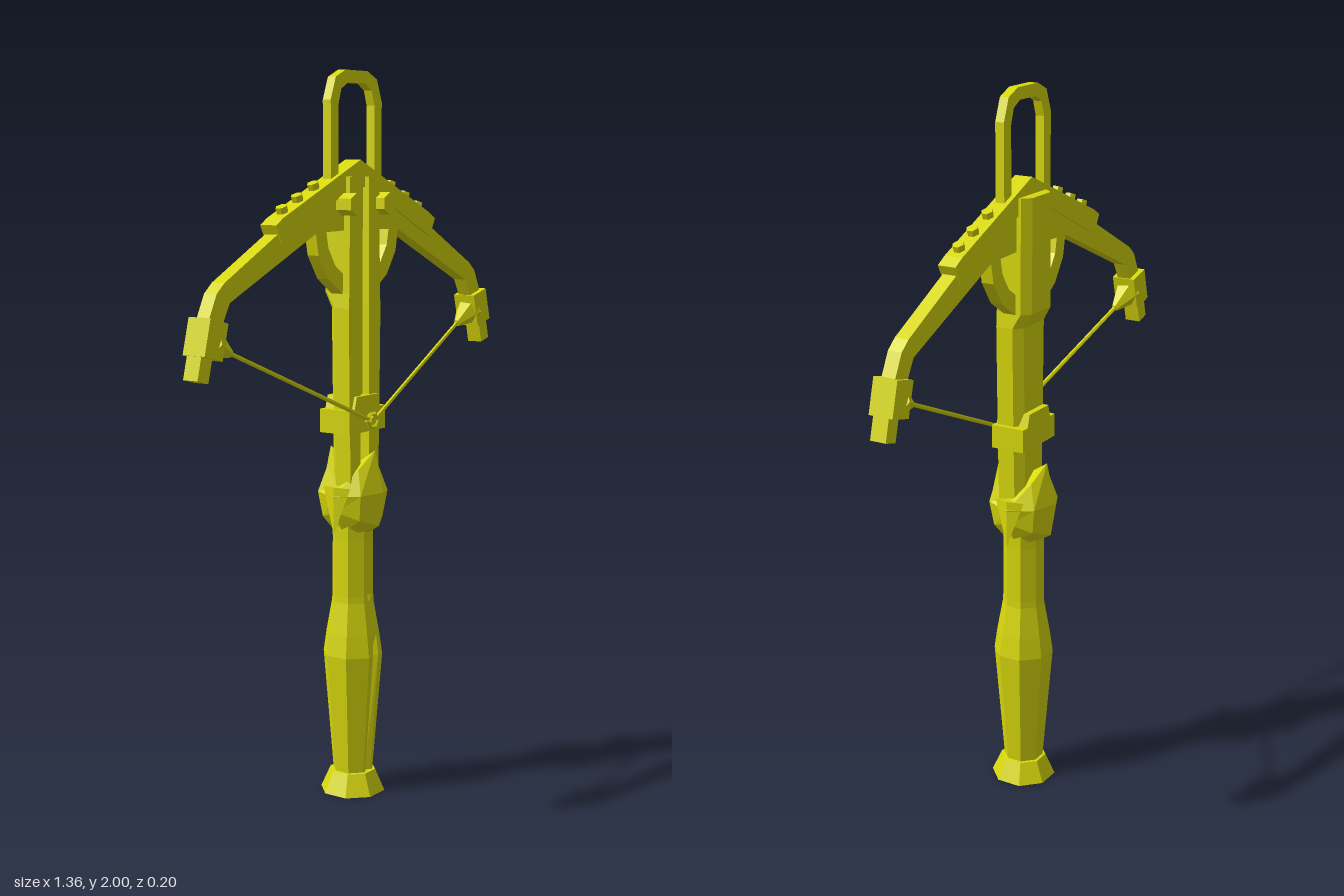
import * as THREE from 'three';

const yellow = new THREE.MeshStandardMaterial({ color: 0xd8d80c, flatShading: true });
yellow.name = 'yellow';

// Joins rings of [x, y, z] points (anticlockwise from above, bottom to top) and caps both ends
function loft(rings) {
  const pos = [];
  const tri = (a, b, c) => pos.push(...a, ...b, ...c);
  const n = rings[0].length;
  const mid = (r) => [0, 1, 2].map((k) => r.reduce((s, p) => s + p[k], 0) / n);
  const low = rings[0], high = rings[rings.length - 1];
  for (let j = 0; j < n; j++) {
    const k = (j + 1) % n;
    for (let i = 0; i < rings.length - 1; i++) {
      const a = rings[i], b = rings[i + 1];
      tri(a[j], a[k], b[k]);
      tri(a[j], b[k], b[j]);
    }
    tri(mid(low), low[k], low[j]);
    tri(mid(high), high[j], high[k]);
  }
  const g = new THREE.BufferGeometry();
  g.setAttribute('position', new THREE.Float32BufferAttribute(pos, 3));
  g.computeVertexNormals();
  return g;
}

// Flat outline extruded evenly about z = 0
function slab(points, depth) {
  const shape = new THREE.Shape(points.map(([x, y]) => new THREE.Vector2(x, y)));
  const g = new THREE.ExtrudeGeometry(shape, { depth, bevelEnabled: false });
  return g.translate(0, 0, -depth / 2);
}

// Completes a right-half outline with its mirror image
const mirrored = (half) => [...half, ...half.filter((p) => p[0] > 0).reverse().map(([x, y]) => [-x, y])];

export function createModel() {
  const model = new THREE.Group();
  model.name = 'crossbow';
  const add = (name, geometry, parent = model) => {
    const m = new THREE.Mesh(geometry, yellow);
    m.name = name;
    parent.add(m);
    return m;
  };
  // Tapered rod between two points
  const rod = (name, a, b, r0, r1, sides) => {
    const p = new THREE.Vector3(...a), q = new THREE.Vector3(...b);
    const d = q.clone().sub(p);
    const m = add(name, new THREE.CylinderGeometry(r1, r0, d.length(), sides));
    m.position.copy(p).add(q).multiplyScalar(0.5);
    m.quaternion.setFromUnitVectors(new THREE.Vector3(0, 1, 0), d.normalize());
    return m;
  };

  // Octagonal grip with a V groove down the front: [y, half width, groove depth]
  const gripRings = [
    [0, 0.085, 0], [0.06, 0.06, 0], [0.061, 0.052, 0.012], [0.4, 0.078, 0.018],
    [0.46, 0.07, 0], [0.55, 0.055, 0], [0.57, 0.054, 0.006], [0.73, 0.053, 0.006], [0.8, 0.055, 0],
  ];
  add('grip', loft(gripRings.map(([y, r, d]) => {
    const w = r * 0.414;
    return [
      [-w, y, r], [-0.013, y, r], [0, y, r - d], [0.013, y, r], [w, y, r],
      [r, y, w], [r, y, -w], [w, y, -r], [-w, y, -r], [-r, y, -w], [-r, y, w],
    ];
  })));

  // Faceted collar with claws rising front and back, dipping at the sides
  const collarRings = [
    [0.75, 0.055, 0.0], [0.79, 0.088, -0.02], [0.86, 0.102, 0.005], [0.93, 0.075, 0.05],
  ];
  add('collar', loft(collarRings.map(([y, r, lift]) => Array.from({ length: 8 }, (_, k) => {
    const a = (k * Math.PI) / 4;
    return [r * 0.9 * Math.sin(a), y + lift * Math.cos(2 * a), r * Math.cos(a)];
  }))));

  // Side leaves pointing down from the collar
  for (const s of [-1, 1]) {
    const leaf = add('collarLeaf', new THREE.ConeGeometry(0.045, 0.13, 4));
    leaf.scale.set(0.35, 1, 1);
    leaf.rotation.set(Math.PI, 0, s * -0.12);
    leaf.position.set(s * 0.083, 0.815, 0);
  }

  // Stock with the bolt channel in front and a deeper head at the back
  const stockRings = [
    [0.85, 0.065, -0.032], [1.06, 0.07, -0.032], [1.37, 0.075, -0.032],
    [1.41, 0.072, -0.055], [1.72, 0.068, -0.055],
  ];
  add('stock', loft(stockRings.map(([y, w, b]) => [
    [-w, y, 0.04], [-0.02, y, 0.04], [-0.02, y, 0.012], [0.02, y, 0.012], [0.02, y, 0.04], [w, y, 0.04],
    [w, y, b + 0.022], [w - 0.022, y, b], [0.022 - w, y, b], [-w, y, b + 0.022],
  ])));
  add('channelRidge', new THREE.BoxGeometry(0.012, 0.65, 0.02)).position.set(0, 1.39, 0.018);

  // Lock housing and the nut that holds the string
  add('lockHousing', slab(mirrored([
    [0, 1.03], [0.085, 1.03], [0.085, 1.095], [0.06, 1.095], [0.05, 1.13], [0, 1.13],
  ]), 0.098));
  const nut = add('nut', new THREE.TorusGeometry(0.02, 0.007, 4, 6));
  nut.position.set(0, 1.062, 0.066);
  const pin = add('nutPin', new THREE.CylinderGeometry(0.012, 0.012, 0.03, 6));
  pin.rotation.x = Math.PI / 2;
  pin.position.set(0, 1.062, 0.055);

  // Bow limbs and the reinforcing plate on top
  add('bow', slab(mirrored([
    [0, 1.74], [0.35, 1.58], [0.57, 1.465], [0.6, 1.44], [0.645, 1.35],
    [0.595, 1.335], [0.55, 1.415], [0.19, 1.575], [0, 1.58],
  ]), 0.04));
  add('topPlate', slab(mirrored([
    [0, 1.765], [0.34, 1.618], [0.37, 1.6], [0.345, 1.552], [0.3, 1.57], [0.12, 1.655], [0, 1.7],
  ]), 0.052));

  // Half ring brace beneath the bow
  const brace = [];
  for (const [r, dir] of [[0.195, 1], [0.148, -1]]) {
    for (let i = 0; i <= 8; i++) {
      const a = Math.PI * (1 + (dir > 0 ? i : 8 - i) / 8);
      brace.push([r * Math.cos(a), 1.59 + r * Math.sin(a)]);
    }
  }
  add('ringBrace', slab(brace, 0.036));

  // Foot stirrup
  const stirrup = [
    [0.118, 1.66], [0.118, 1.92], [0.095, 1.98], [0.05, 2], [-0.05, 2], [-0.095, 1.98], [-0.118, 1.92], [-0.118, 1.66],
    [-0.083, 1.66], [-0.083, 1.91], [-0.07, 1.95], [-0.04, 1.967], [0.04, 1.967], [0.07, 1.95], [0.083, 1.91], [0.083, 1.66],
  ];
  add('stirrup', slab(stirrup, 0.026));

  for (const s of [-1, 1]) {
    // Large hexagonal bolts on the front
    const bolt = add('frontBolt', new THREE.CylinderGeometry(0.03, 0.03, 0.05, 6));
    bolt.rotation.x = Math.PI / 2;
    bolt.position.set(s * 0.078, 1.648, 0.043);

    // Small bolts along the plate
    for (const x of [0.175, 0.245, 0.31]) {
      const stud = add('plateBolt', new THREE.CylinderGeometry(0.016, 0.016, 0.034, 6));
      stud.rotation.z = -s * 0.41;
      stud.position.set(s * x, 1.766 - 0.437 * x, 0);
    }

    // Limb tip blocks
    const tip = new THREE.Group();
    tip.name = 'limbTip';
    tip.position.set(s * 0.62, 1.33, 0);
    tip.rotation.z = s * 0.26;
    model.add(tip);
    add('tipBlock', new THREE.BoxGeometry(0.07, 0.095, 0.07), tip);
    add('tipEnd', new THREE.BoxGeometry(0.042, 0.08, 0.046), tip).position.set(s * 0.012, -0.068, 0);

    // String anchor and string
    rod('stringAnchor', [s * 0.605, 1.32, 0], [s * 0.53, 1.286, 0.004], 0.042, 0.01, 6);
    rod('string', [s * 0.56, 1.3, 0], [s * 0.015, 1.066, 0.066], 0.006, 0.006, 6);
  }
  return model;
}
